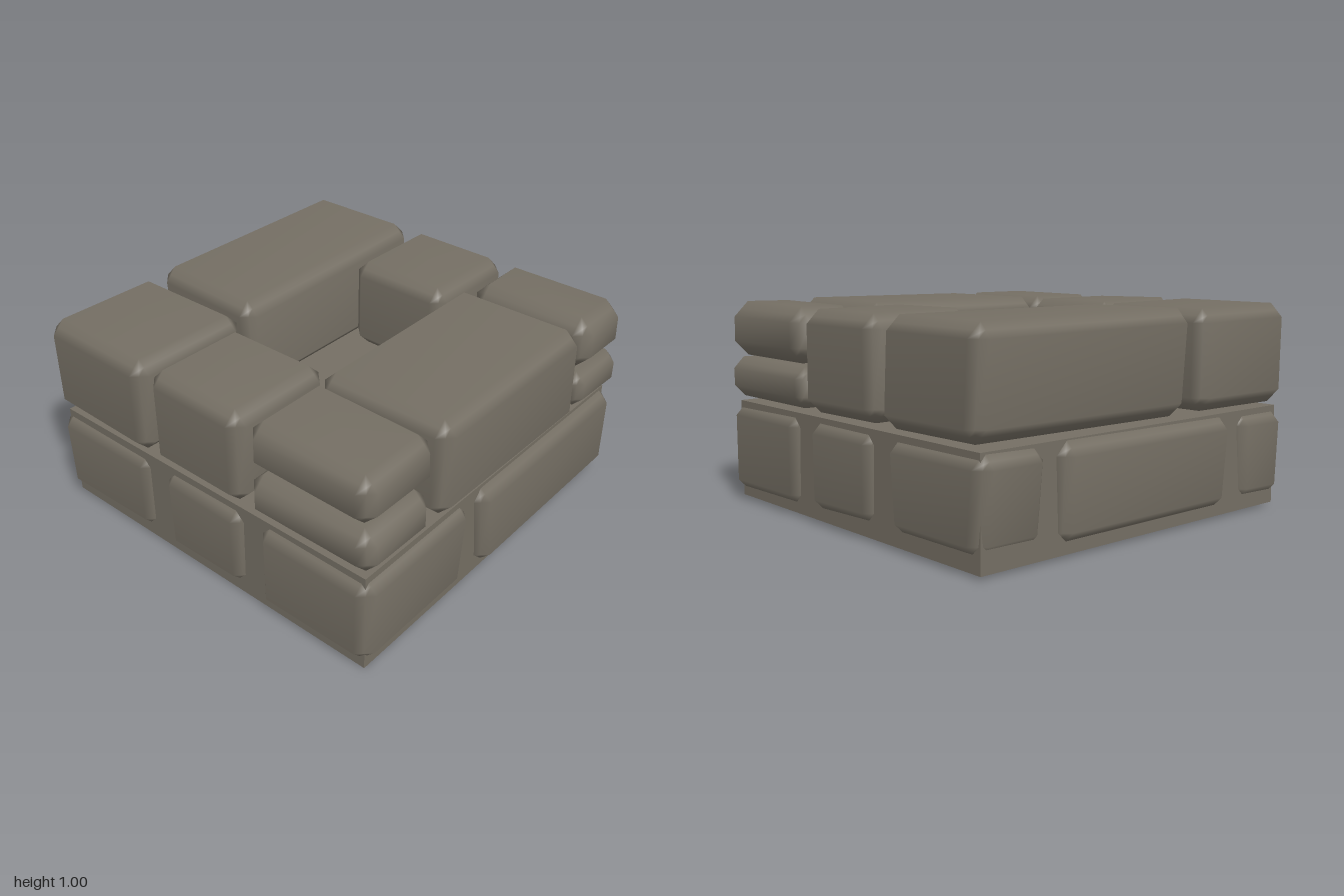
import * as THREE from 'three';
import { mergeVertices } from 'three/addons/utils/BufferGeometryUtils.js';

// Small seeded generator for hand-cut irregularity
function seeded(seed) {
  return () => {
    seed = (seed * 16807) % 2147483647;
    return seed / 2147483647;
  };
}

// Chamfered block filling [x0,x1,y0,y1,z0,z1]; bottom and back shift the
// sides of the lower and rear ends to give each block its slanted cut.
function stoneGeometry([x0, x1, y0, y1, z0, z1], seed, { bevel = 0.065, bottom = [0, 0, 0, 0], back = [0, 0] }) {
  const rand = seeded(seed * 7919 + 13);
  const jitter = Array.from({ length: 8 }, () => [0, 0, 0].map(() => (rand() - 0.5) * 0.014));
  let geo = new THREE.BoxGeometry(3, 3, 3, 3, 3, 3);
  geo.deleteAttribute('normal');
  geo.deleteAttribute('uv');
  geo = mergeVertices(geo);
  const pos = geo.attributes.position;
  const half = [(x1 - x0) / 2, (y1 - y0) / 2, (z1 - z0) / 2];
  const mid = [(x0 + x1) / 2, (y0 + y1) / 2, (z0 + z1) / 2];
  for (let i = 0; i < pos.count; i++) {
    const g = [pos.getX(i), pos.getY(i), pos.getZ(i)];
    const outer = g.filter((v) => Math.abs(v) > 1).length;
    // Edge and corner points are pulled in onto the chamfer planes
    const cut = (bevel * (outer - 1)) / outer;
    const p = g.map((v, a) => Math.sign(v) * (half[a] - (Math.abs(v) > 1 ? cut : bevel)));
    const t = p.map((v, a) => (v / half[a] + 1) / 2);
    const q = p.map((v, a) => v + mid[a]);
    for (let k = 0; k < 8; k++) {
      const w = (k & 1 ? t[0] : 1 - t[0]) * (k & 2 ? t[1] : 1 - t[1]) * (k & 4 ? t[2] : 1 - t[2]);
      for (let a = 0; a < 3; a++) q[a] += jitter[k][a] * w;
    }
    const low = 1 - t[1], rear = 1 - t[2];
    q[0] += low * ((1 - t[0]) * bottom[0] + t[0] * bottom[1]);
    q[2] += low * ((1 - t[2]) * bottom[2] + t[2] * bottom[3]);
    q[0] += rear * ((1 - t[0]) * back[0] + t[0] * back[1]);
    pos.setXYZ(i, ...q);
  }
  geo.computeVertexNormals();
  return geo;
}

export function createModel() {
  const model = new THREE.Group();
  model.name = 'stoneBlockRing';
  const stone = new THREE.MeshStandardMaterial({ color: 0x746e63 });
  stone.name = 'grey brown stone';

  // Solid mortar slab behind the lower course, one corner slightly low
  const slab = new THREE.BoxGeometry(1.88, 0.485, 1.87);
  slab.translate(0, 0.2575, 0);
  const sp = slab.attributes.position;
  for (let i = 0; i < sp.count; i++) {
    if (sp.getY(i) < 0.1 && sp.getX(i) < 0 && sp.getZ(i) > 0) sp.setY(i, 0);
  }
  slab.computeVertexNormals();
  const base = new THREE.Mesh(slab, stone);
  base.name = 'mortarBase';
  model.add(base);

  const stones = [
    // Lower course, embedded in the slab
    ['lowerFrontRight', [-0.98, -0.23, 0.04, 0.49, 0.35, 0.98], { bottom: [0, -0.05, 0, 0] }],
    ['lowerFrontLeft', [-0.2, 0.98, 0.035, 0.49, 0.35, 0.99], { bottom: [0.05, 0, 0, 0] }],
    ['lowerMiddleLeft', [0.4, 0.98, 0.06, 0.49, -0.26, 0.26], { bottom: [0, 0, 0.01, -0.02] }],
    ['lowerMiddleRight', [-0.98, -0.4, 0.05, 0.49, -0.25, 0.27], { bottom: [0, 0, 0.02, 0] }],
    ['lowerBackLeft', [0.6, 0.98, 0.06, 0.495, -0.99, -0.34], { bottom: [0, 0, 0.05, -0.04] }],
    ['lowerBackMiddle', [-0.58, 0.55, 0.045, 0.495, -0.995, -0.4], { bottom: [0.03, 0, 0.02, 0] }],
    ['lowerBackRight', [-0.98, -0.62, 0.05, 0.49, -0.98, -0.33], { bottom: [0, -0.02, 0.02, 0] }],
    // Upper course, front row with stacked thin stones at both corners
    ['upperFrontRightTop', [-0.975, -0.515, 0.755, 0.995, 0.3, 0.965], { back: [0, 0.01] }],
    ['upperFrontRightBottom', [-0.98, -0.54, 0.52, 0.735, 0.3, 0.975], {}],
    ['upperFrontMiddle', [-0.49, 0.575, 0.52, 1.0, 0.29, 0.985], { bottom: [-0.015, 0, 0, 0], back: [-0.01, 0] }],
    ['upperFrontLeftTop', [0.595, 0.98, 0.725, 0.995, 0.31, 0.98], { bevel: 0.075, back: [0.02, 0] }],
    ['upperFrontLeftBottom', [0.595, 0.975, 0.52, 0.715, 0.3, 0.985], { bevel: 0.055 }],
    // Upper course, side blocks
    ['upperMiddleRight', [-0.98, -0.4, 0.52, 0.995, -0.285, 0.28], { back: [0, -0.02] }],
    ['upperMiddleLeft', [0.41, 0.98, 0.52, 0.995, -0.28, 0.28], { bottom: [0, 0, -0.01, 0.01] }],
    // Upper course, back row
    ['upperBackRight', [-0.98, -0.325, 0.52, 0.995, -0.975, -0.31], { back: [0, -0.01] }],
    ['upperBackLeft', [-0.29, 0.98, 0.52, 1.0, -0.98, -0.33], { bottom: [0, 0, 0.03, 0.04], back: [0.015, 0] }],
  ];
  stones.forEach(([name, box, options], i) => {
    const mesh = new THREE.Mesh(stoneGeometry(box, i + 1, options), stone);
    mesh.name = name + 'Stone';
    model.add(mesh);
  });
  return model;
}
